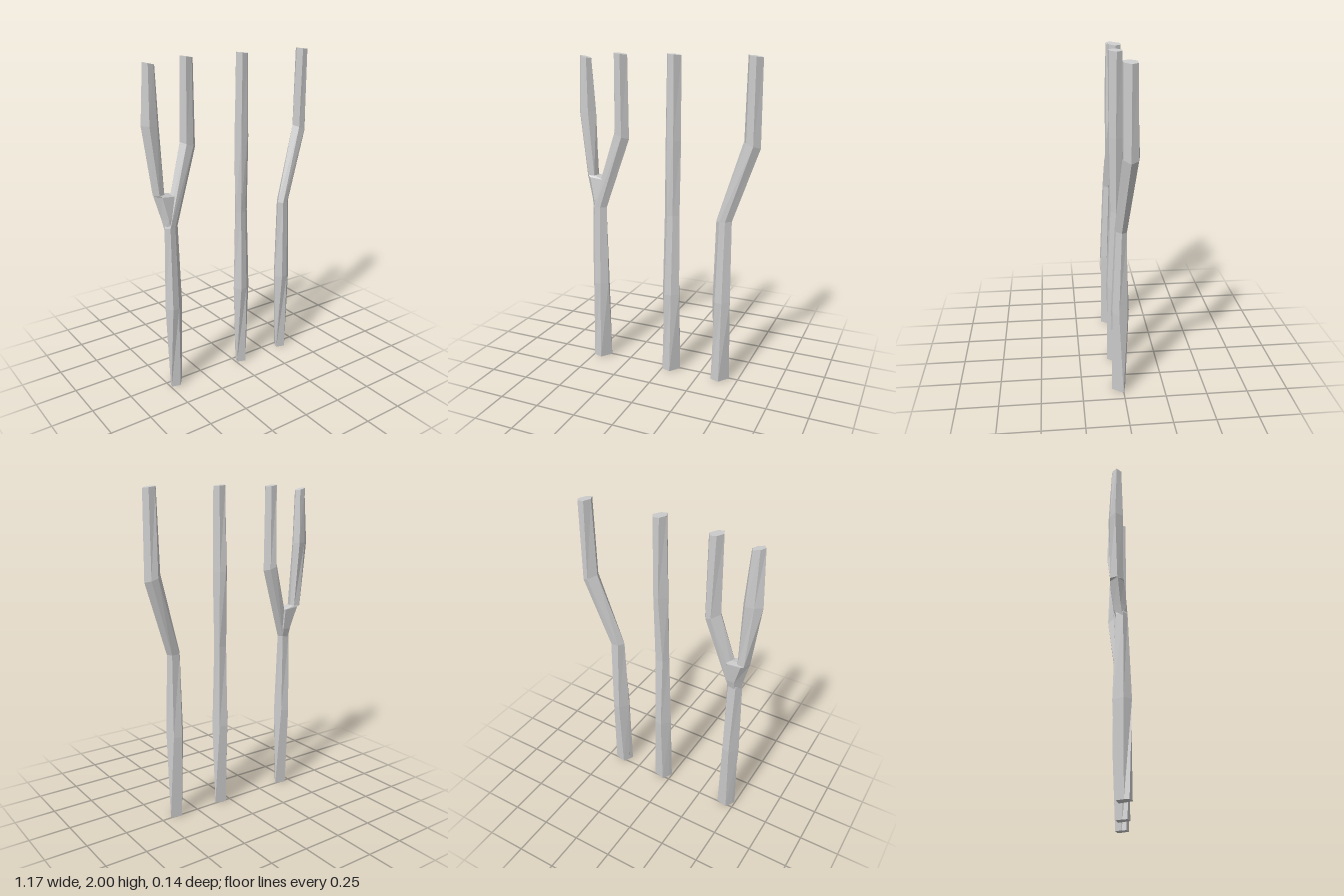
import * as THREE from 'three';

const material = new THREE.MeshStandardMaterial({ color: 0xcccccc, flatShading: true });

// Ring: height y, six [x, z] corners (left, front, right, back), offset and tilt about its middle
const ring = (y, corners, dx = 0, tilt = 0, dz = 0) => {
  const mid = corners.reduce((s, c) => s + c[0], 0) / corners.length;
  return corners.map(([x, z]) => [x + dx, y + tilt * (x - mid), z + dz]);
};

// Skins a stack of rings and closes both ends
function loft(name, rings) {
  const n = rings[0].length, pos = rings.flat(2), idx = [];
  for (let r = 0; r < rings.length - 1; r++) {
    for (let i = 0; i < n; i++) {
      const j = (i + 1) % n, a = r * n + i, b = r * n + j;
      idx.push(a, b, b + n, a, b + n, a + n);
    }
  }
  const top = (rings.length - 1) * n;
  for (let i = 1; i < n - 1; i++) {
    idx.push(0, i + 1, i);
    idx.push(top, top + i, top + i + 1);
  }
  const indexed = new THREE.BufferGeometry();
  indexed.setAttribute('position', new THREE.Float32BufferAttribute(pos, 3));
  indexed.setIndex(idx);
  const geo = indexed.toNonIndexed();
  geo.computeVertexNormals();
  const mesh = new THREE.Mesh(geo, material);
  mesh.name = name;
  return mesh;
}

// Four-sided foot, swollen shin and slim waist shared by every stick
const foot = [[0.015, 0.025], [0.005, 0.053], [0.06, 0.07], [0.11, 0.002], [0.078, -0.006], [0.04, -0.015]];
const shin = [[-0.003, 0.025], [0.025, 0.07], [0.068, 0.066], [0.11, 0.03], [0.09, -0.022], [0.04, -0.034]];
const waist = [[0.01, 0.025], [0.035, 0.05], [0.07, 0.045], [0.103, 0.015], [0.085, -0.015], [0.035, -0.015]];
const knee = [[0.01, 0.012], [0.032, 0.052], [0.075, 0.053], [0.11, 0.015], [0.087, -0.026], [0.05, -0.036]];
const tip = [[0.02, 0.015], [0.038, 0.052], [0.075, 0.05], [0.106, 0.01], [0.085, -0.024], [0.045, -0.024]];

const trunk = dx => [ring(0, foot, dx), ring(0.53, shin, dx), ring(1.04, waist, dx)];

const straightStick = () => loft('straightStick', [
  ...trunk(0), ring(1.5, knee), ring(1.995, tip, 0, -0.1),
]);

// Stick that leans to its left and then runs upright again
const bentStick = (name, dx) => loft(name, [
  ...trunk(dx),
  ring(1.5, knee, dx + 0.142, -0.4, -0.032),
  ring(1.992, tip, dx + 0.142, -0.15, -0.028),
]);

// Side branch of the fork, with a wide crotch at its root
const sideBranch = () => loft('sideBranch', [
  ring(1.02, [[-0.487, 0.02], [-0.46, 0.045], [-0.43, 0.04], [-0.405, 0.015], [-0.42, -0.01], [-0.455, -0.012]]),
  ring(1.09, [[-0.5, 0.01], [-0.47, 0.046], [-0.43, 0.044], [-0.39, 0.01], [-0.41, -0.028], [-0.46, -0.03]]),
  ring(1.225, [[-0.538, -0.005], [-0.5, 0.032], [-0.41, 0.03], [-0.385, -0.01], [-0.41, -0.045], [-0.5, -0.05]], 0, -0.1),
  ring(1.24, [[-0.54, -0.008], [-0.515, 0.026], [-0.48, 0.018], [-0.468, -0.02], [-0.48, -0.045], [-0.52, -0.05]]),
  ring(1.64, [[-0.59, -0.02], [-0.56, 0.025], [-0.51, 0.02], [-0.477, -0.025], [-0.5, -0.06], [-0.55, -0.05]]),
  ring(1.97, [[-0.57, -0.012], [-0.55, 0.016], [-0.515, 0.014], [-0.495, -0.015], [-0.51, -0.042], [-0.55, -0.038]], 0, -0.25),
]);

export function createModel() {
  const model = new THREE.Group();
  model.name = 'woodenSticks';
  const forked = new THREE.Group();
  forked.name = 'forkedStick';
  forked.add(bentStick('mainStem', -0.5), sideBranch());
  model.add(forked, straightStick(), bentStick('bentStick', 0.333));
  return model;
}
